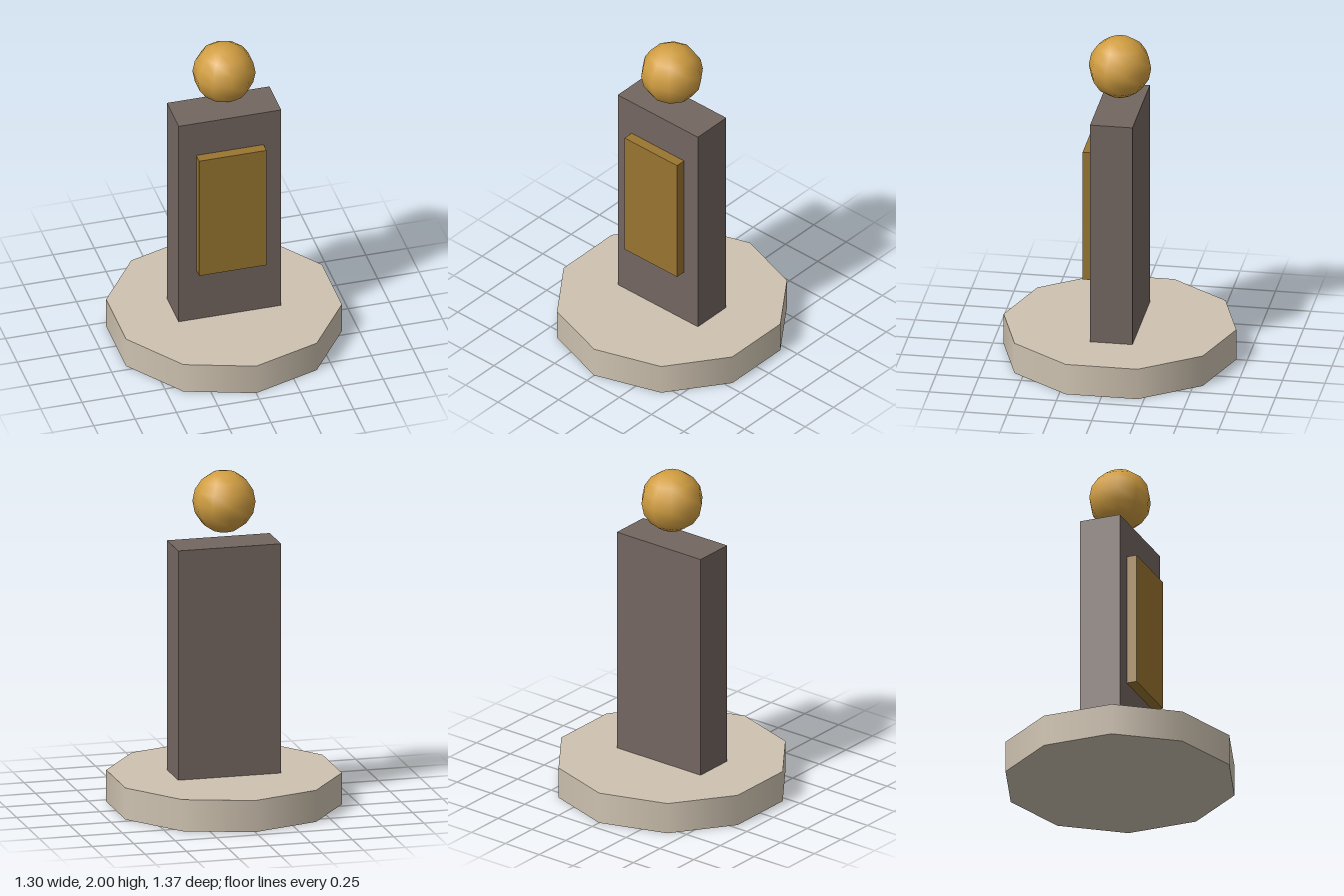
import * as THREE from 'three';

export function createModel() {
  const model = new THREE.Group();

  const add = (name, geometry, color, y, z = 0) => {
    const mesh = new THREE.Mesh(geometry, new THREE.MeshStandardMaterial({ color }));
    mesh.name = name;
    mesh.position.set(0, y, z);
    model.add(mesh);
    return mesh;
  };

  // ten-sided plinth with a corner facing front
  add('base', new THREE.CylinderGeometry(0.686, 0.686, 0.19, 10), 0xcec2b0, 0.095);

  // upright slab
  add('slab', new THREE.BoxGeometry(0.62, 1.38, 0.25), 0x736660, 0.88);

  // raised plaque on the front of the slab
  add('plaque', new THREE.BoxGeometry(0.406, 0.81, 0.062), 0x997530, 0.94, 0.156);

  // ball floating above, its corners lined up with the base
  const ball = add('ball', new THREE.SphereGeometry(0.184, 10, 8), 0xd19e42, 1.816);
  ball.rotation.y = Math.PI / 2;

  return model;
}
